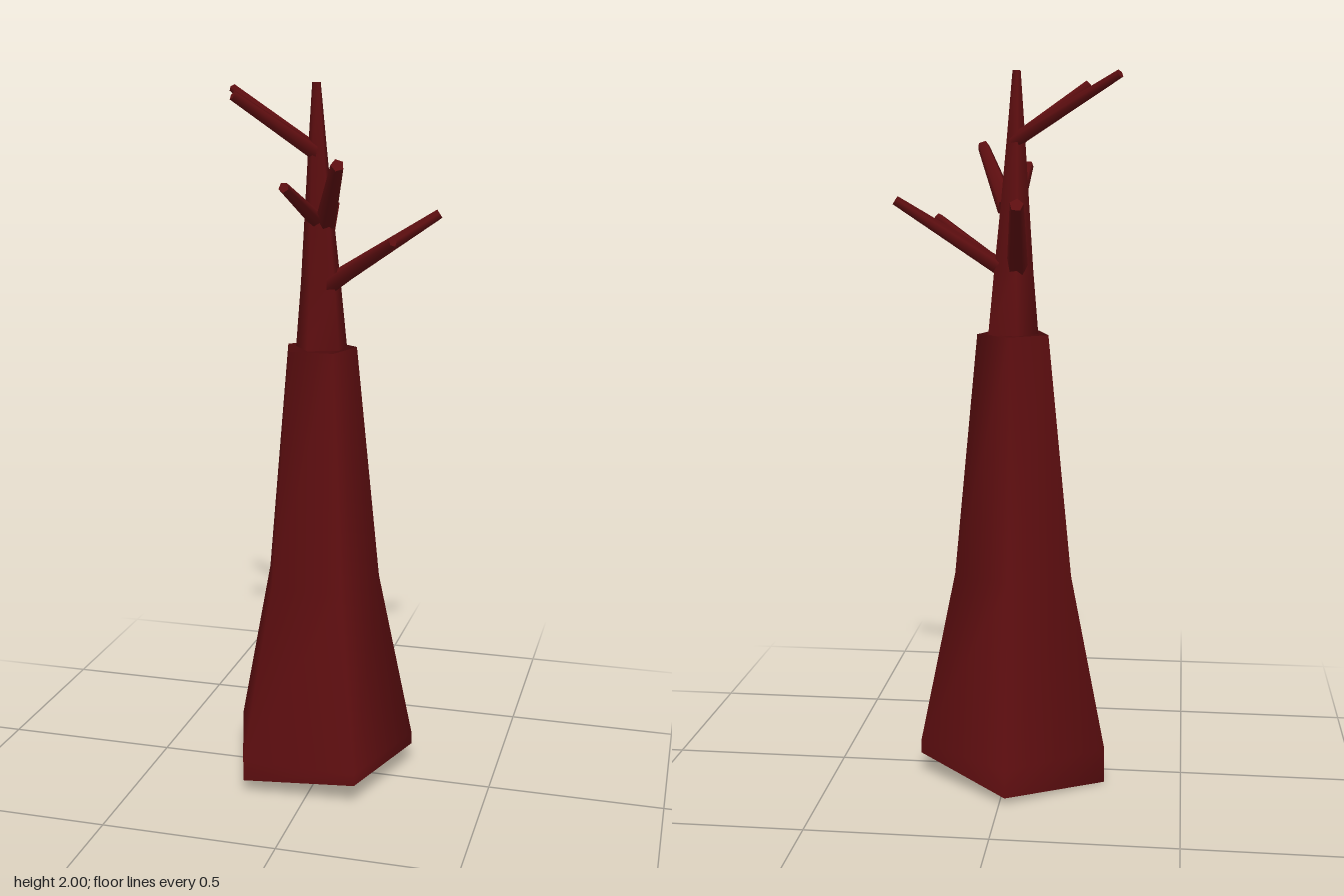
import * as THREE from 'three';

const SIDES = 5;

// Open tube through horizontal rings [cx, y, cz, radius]; y may be a list, one per corner.
function loft(rings, phase) {
  const pos = [], index = [];
  rings.forEach(([cx, y, cz, r], i) => {
    for (let j = 0; j < SIDES; j++) {
      const a = phase + (j / SIDES) * Math.PI * 2;
      pos.push(cx + r * Math.sin(a), Array.isArray(y) ? y[j] : y, cz + r * Math.cos(a));
      if (i === 0) continue;
      const k = (j + 1) % SIDES, lo = (i - 1) * SIDES, hi = i * SIDES;
      index.push(lo + j, lo + k, hi + k, lo + j, hi + k, hi + j);
    }
  });
  const g = new THREE.BufferGeometry();
  g.setAttribute('position', new THREE.Float32BufferAttribute(pos, 3));
  g.setIndex(index);
  g.computeVertexNormals();
  return g;
}

export function createModel() {
  const model = new THREE.Group();
  model.name = 'deadTree';
  const bark = new THREE.MeshStandardMaterial({ color: 0x5e0e10, side: THREE.DoubleSide });
  bark.name = 'dark red bark';

  const add = (name, geometry) => {
    const mesh = new THREE.Mesh(geometry, bark);
    mesh.name = name;
    model.add(mesh);
    return mesh;
  };

  // Hollow lower trunk with an uneven foot
  add('lowerTrunk', loft([
    [-0.016, [0.02, 0, 0.04, 0.065, 0.065], -0.006, 0.279],
    [-0.016, 0.1, -0.006, 0.279],
    [-0.015, 0.6, -0.011, 0.174],
    [-0.01, 1.28, 0.005, 0.105],
  ], Math.PI));

  // Slim upper trunk rising to the tip
  add('upperTrunk', loft([
    [-0.004, 1.28, 0, 0.075],
    [-0.006, 1.46, 0.001, 0.058],
    [-0.01, 1.64, 0.005, 0.042],
    [-0.013, 1.82, 0.01, 0.027],
    [-0.015, 2, 0.014, 0.012],
    [-0.015, 2, 0.014, 0.0001],
  ], -Math.PI / 2));

  // Branches: root, tip, root radius, tip radius
  const branches = [
    [[0.02, 1.46, -0.01], [0.308, 1.65, -0.08], 0.026, 0.014],
    [[-0.02, 1.46, -0.01], [-0.051, 1.645, -0.31], 0.031, 0.019],
    [[0.02, 1.455, 0.02], [0.228, 1.597, 0.153], 0.023, 0.014],
    [[0.01, 1.63, 0.01], [0.11, 1.8, 0.272], 0.03, 0.018],
    [[-0.015, 1.63, 0.01], [-0.02, 1.745, 0.312], 0.023, 0.014],
    [[-0.01, 1.81, 0.005], [-0.306, 1.98, -0.153], 0.022, 0.012],
    [[-0.01, 1.81, 0.01], [-0.202, 1.968, 0.16], 0.022, 0.014],
  ];
  const up = new THREE.Vector3(0, 1, 0);
  branches.forEach(([root, tip, r0, r1], i) => {
    const a = new THREE.Vector3(...root), b = new THREE.Vector3(...tip);
    const dir = b.clone().sub(a);
    const mesh = add('branch' + (i + 1), new THREE.CylinderGeometry(r1, r0, dir.length(), SIDES));
    mesh.position.copy(a).add(b).multiplyScalar(0.5);
    mesh.quaternion.setFromUnitVectors(up, dir.normalize());
  });

  return model;
}
